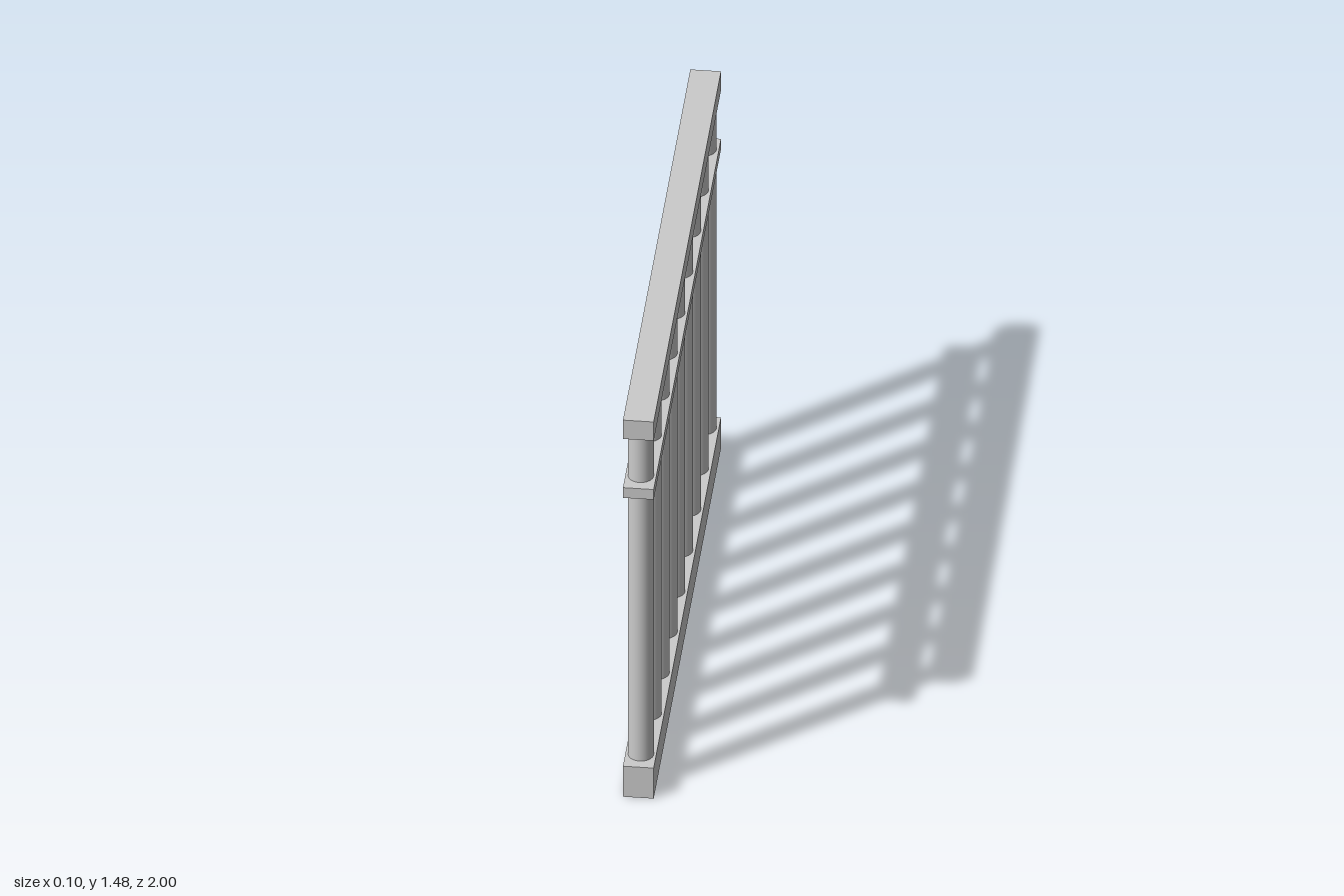
import * as THREE from 'three';

export function createModel() {
  const group = new THREE.Group();
  const material = new THREE.MeshStandardMaterial({ color: 0xcccccc });

  const add = (name, geometry, y, z = 0) => {
    const mesh = new THREE.Mesh(geometry, material);
    mesh.name = name;
    mesh.position.set(0, y, z);
    group.add(mesh);
  };

  // Horizontal beams running along z, given by bottom and top height
  const rail = (name, y0, y1) =>
    add(name, new THREE.BoxGeometry(0.1, y1 - y0, 2), (y0 + y1) / 2);
  rail('bottomRail', 0, 0.12);
  rail('middleRail', 1.177, 1.217);
  rail('topRail', 1.409, 1.483);

  // Round balusters, evenly spaced and set slightly towards the back
  const count = 9, spacing = 0.2326, offset = -0.007;
  const y0 = 0.12, y1 = 1.409;
  const baluster = new THREE.CylinderGeometry(0.042, 0.042, y1 - y0, 32);
  for (let i = 0; i < count; i++) {
    add(`baluster${i + 1}`, baluster, (y0 + y1) / 2, offset + (i - (count - 1) / 2) * spacing);
  }

  return group;
}
